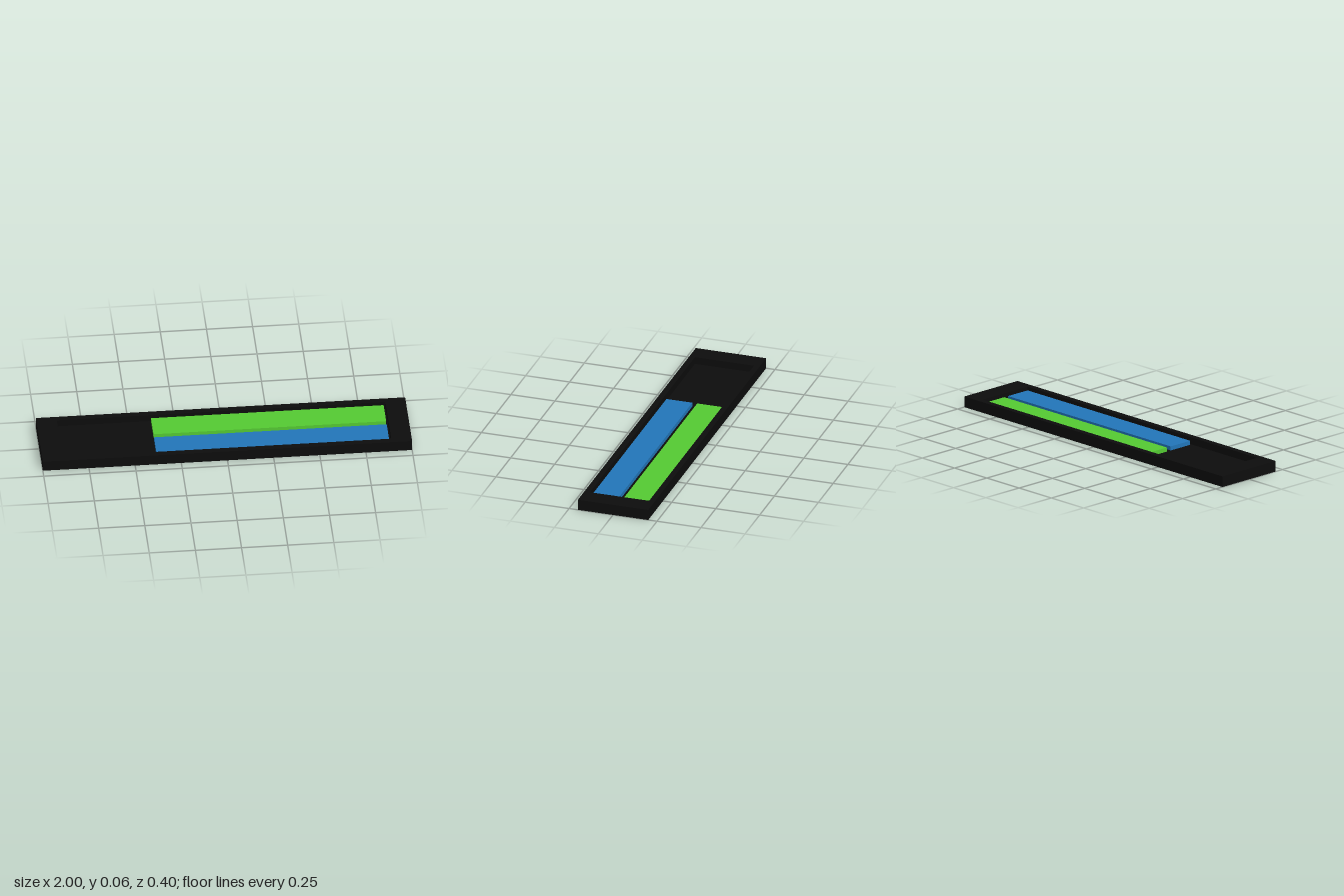
import * as THREE from 'three';

const FLOOR = 0.02, TOP = 0.06;

function rectangle(PathType, halfX, halfZ) {
  return new PathType([
    new THREE.Vector2(-halfX, -halfZ), new THREE.Vector2(halfX, -halfZ),
    new THREE.Vector2(halfX, halfZ), new THREE.Vector2(-halfX, halfZ),
  ]);
}

function box(name, material, [x0, x1], [y0, y1], [z0, z1]) {
  const mesh = new THREE.Mesh(new THREE.BoxGeometry(x1 - x0, y1 - y0, z1 - z0), material);
  mesh.position.set((x0 + x1) / 2, (y0 + y1) / 2, (z0 + z1) / 2);
  mesh.name = name;
  return mesh;
}

export function createModel() {
  const group = new THREE.Group();
  group.name = 'trayWithBars';
  const black = new THREE.MeshStandardMaterial({ color: 0x0d0d0d });
  const green = new THREE.MeshStandardMaterial({ color: 0x55cc33 });
  const blue = new THREE.MeshStandardMaterial({ color: 0x2277bb });

  // Tray floor
  group.add(box('trayFloor', black, [-1, 1], [0, FLOOR], [-0.2, 0.2]));

  // Raised rim around the recess
  const outline = rectangle(THREE.Shape, 1, 0.2);
  outline.holes.push(rectangle(THREE.Path, 0.89, 0.168));
  const rimGeometry = new THREE.ExtrudeGeometry(outline, { depth: TOP - FLOOR, bevelEnabled: false });
  rimGeometry.rotateX(-Math.PI / 2);
  const rim = new THREE.Mesh(rimGeometry, black);
  rim.position.y = FLOOR;
  rim.name = 'trayRim';
  group.add(rim);

  // Two flat bars lying side by side in the recess
  const barX = [-0.38, 0.88], barY = [FLOOR, 0.043];
  group.add(box('backBar', green, barX, barY, [-0.163, -0.016]));
  group.add(box('frontBar', blue, barX, barY, [0.012, 0.159]));

  return group;
}
